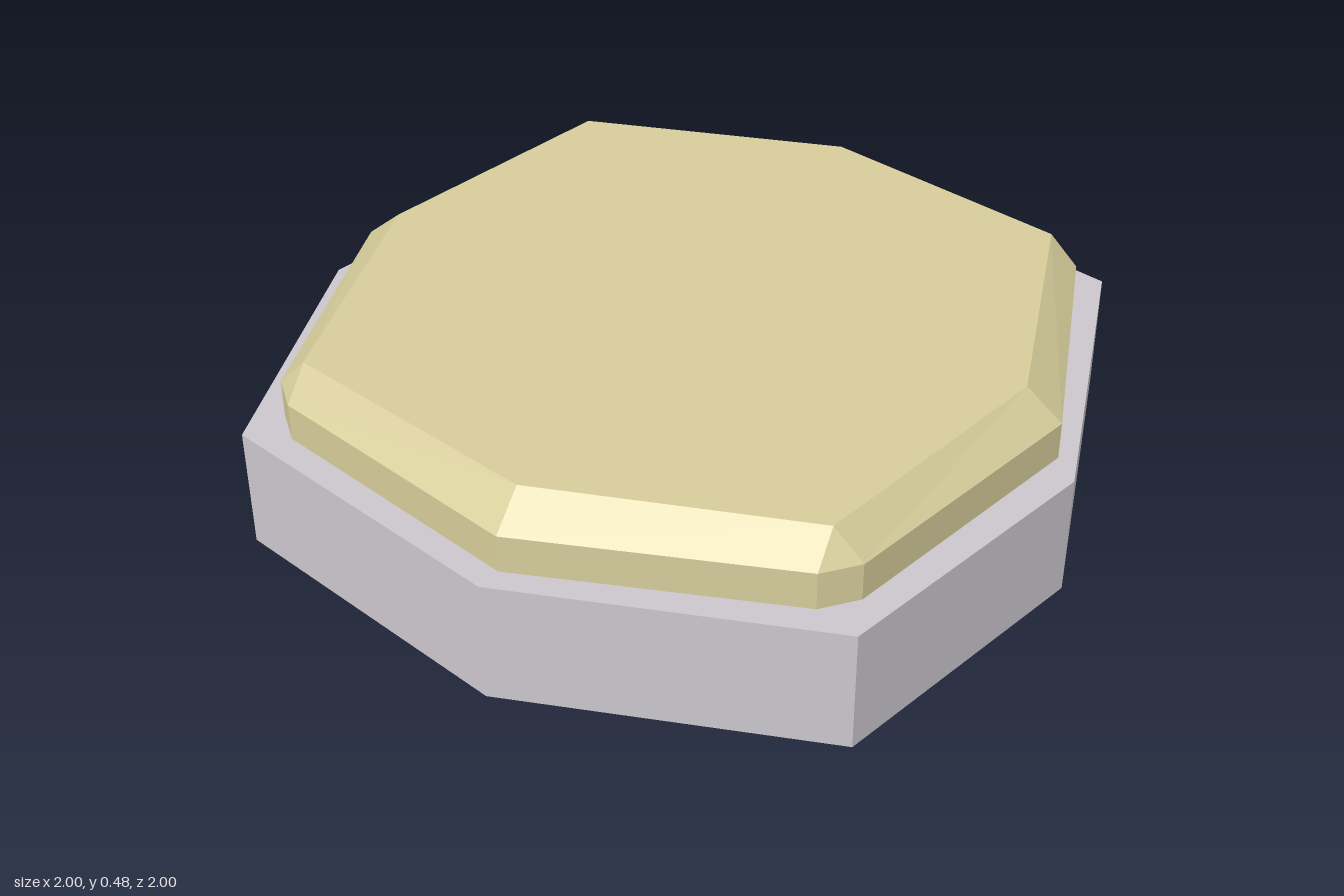
import * as THREE from 'three';

// Joins matching outlines, listed bottom to top, and caps both ends.
function loft(rings) {
  const pos = [];
  const tri = (a, b, c) => {
    if (a.equals(b) || b.equals(c) || a.equals(c)) return;
    for (const p of [a, b, c]) pos.push(p.x, p.y, p.z);
  };
  const loops = rings.map(({ y, outline }) => outline.map(([x, z]) => new THREE.Vector3(x, y, z)));
  const n = loops[0].length;
  const bottom = loops[0], top = loops[loops.length - 1];
  const bottomCentre = new THREE.Vector3(0, rings[0].y, 0);
  const topCentre = new THREE.Vector3(0, rings[rings.length - 1].y, 0);
  for (let i = 0; i < n; i++) {
    const j = (i + 1) % n;
    for (let k = 0; k < loops.length - 1; k++) {
      const lo = loops[k], up = loops[k + 1];
      tri(lo[j], lo[i], up[i]);
      tri(lo[j], up[i], up[j]);
    }
    tri(topCentre, top[j], top[i]);
    tri(bottomCentre, bottom[i], bottom[j]);
  }
  const geometry = new THREE.BufferGeometry();
  geometry.setAttribute('position', new THREE.Float32BufferAttribute(pos, 3));
  geometry.computeVertexNormals();
  return geometry;
}

export function createModel() {
  const group = new THREE.Group();
  const stone = new THREE.MeshStandardMaterial({ color: 0xcbc7cd, flatShading: true });
  stone.name = 'pale grey';
  const sand = new THREE.MeshStandardMaterial({ color: 0xd6cc9a, flatShading: true });
  sand.name = 'sand';

  const add = (name, rings, material) => {
    const mesh = new THREE.Mesh(loft(rings), material);
    mesh.name = name;
    group.add(mesh);
  };

  // Eight-sided plinth
  const plinth = [
    [0, -1], [0.78, -0.78], [1, 0.07], [0.78, 0.78],
    [0, 1], [-0.78, 0.78], [-1, 0.07], [-0.78, -0.78],
  ];
  add('base', [{ y: 0, outline: plinth }, { y: 0.31, outline: plinth }], stone);

  // Slab with clipped corners; each clipped corner closes to a point at the top
  const rim = [
    [0.01, -0.94], [0.667, -0.74], [0.74, -0.667], [0.937, 0], [0.74, 0.667], [0.667, 0.74],
    [0.01, 0.937], [-0.667, 0.74], [-0.74, 0.667], [-0.937, 0], [-0.74, -0.667], [-0.667, -0.74],
  ];
  const c = 0.667;
  const face = [
    [0.01, -0.847], [c, -c], [c, -c], [0.847, 0], [c, c], [c, c],
    [0.01, 0.845], [-c, c], [-c, c], [-0.847, 0], [-c, -c], [-c, -c],
  ];
  add('topSlab', [
    { y: 0.31, outline: rim },
    { y: 0.405, outline: rim },
    { y: 0.48, outline: face },
  ], sand);

  return group;
}
